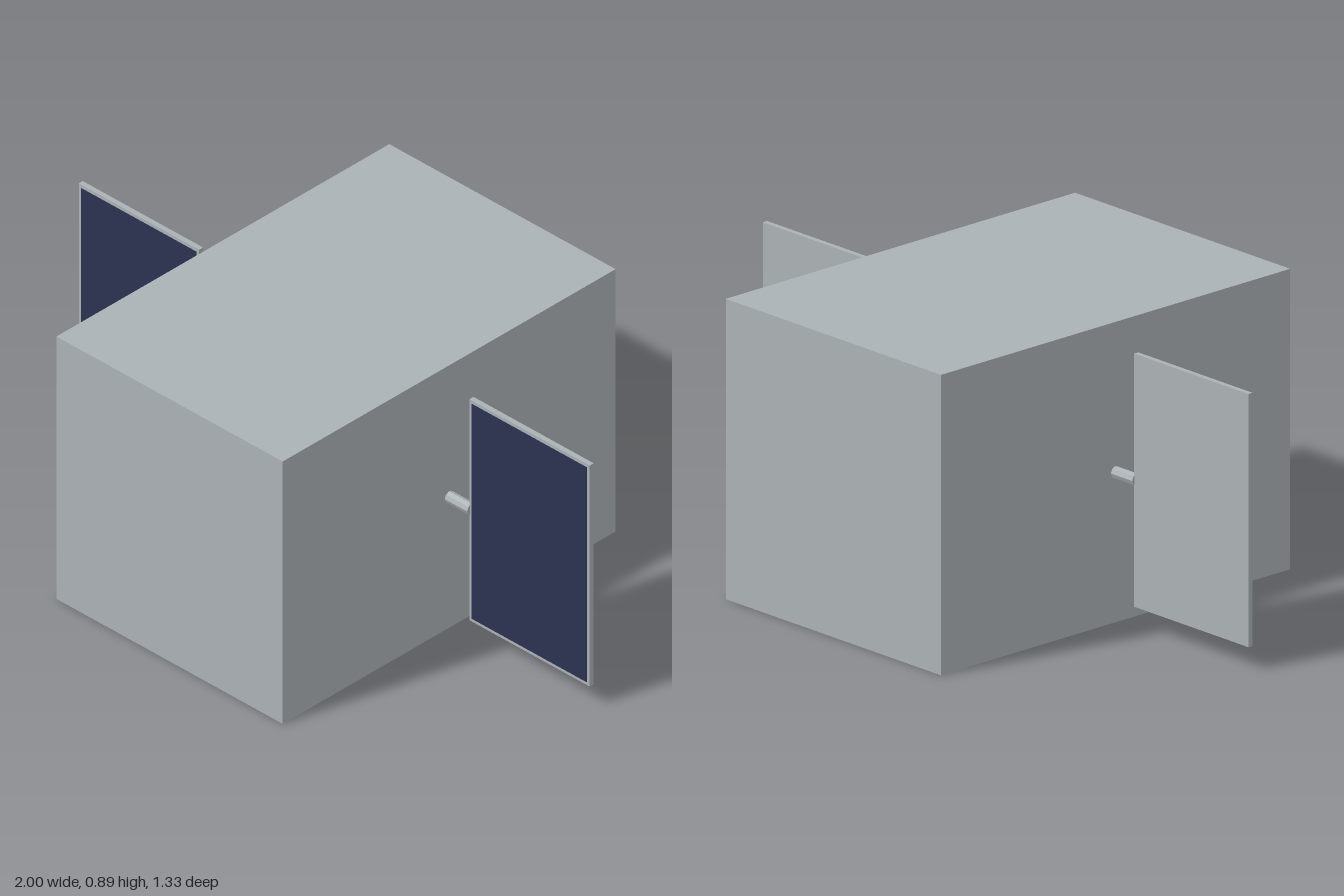
import * as THREE from 'three';

export function createModel() {
  const model = new THREE.Group();
  const grey = new THREE.MeshStandardMaterial({ color: 0xabb2b5, flatShading: true });
  grey.name = 'hull grey';
  const navy = new THREE.MeshStandardMaterial({ color: 0x2b3350, flatShading: true });
  navy.name = 'solar cell navy';

  const add = (name, geometry, material, x, y, z) => {
    const mesh = new THREE.Mesh(geometry, material);
    mesh.name = name;
    mesh.position.set(x, y, z);
    model.add(mesh);
    return mesh;
  };

  // Main box body
  const midY = 0.445;
  add('body', new THREE.BoxGeometry(0.886, 0.89, 1.333), grey, 0, midY, 0);

  // Mirrored solar wings, each on a short rod
  for (const [side, s] of [['left', 1], ['right', -1]]) {
    const rod = add(side + 'Rod', new THREE.CylinderGeometry(0.018, 0.018, 0.09, 8), grey, s * 0.486, midY, 0);
    rod.rotation.z = Math.PI / 2;
    add(side + 'PanelFrame', new THREE.BoxGeometry(0.471, 0.75, 0.016), grey, s * 0.7645, midY, -0.001);
    // Cells cover the front face inside a narrow border
    add(side + 'SolarCells', new THREE.BoxGeometry(0.449, 0.728, 0.004), navy, s * 0.7645, midY, 0.007);
  }
  return model;
}
